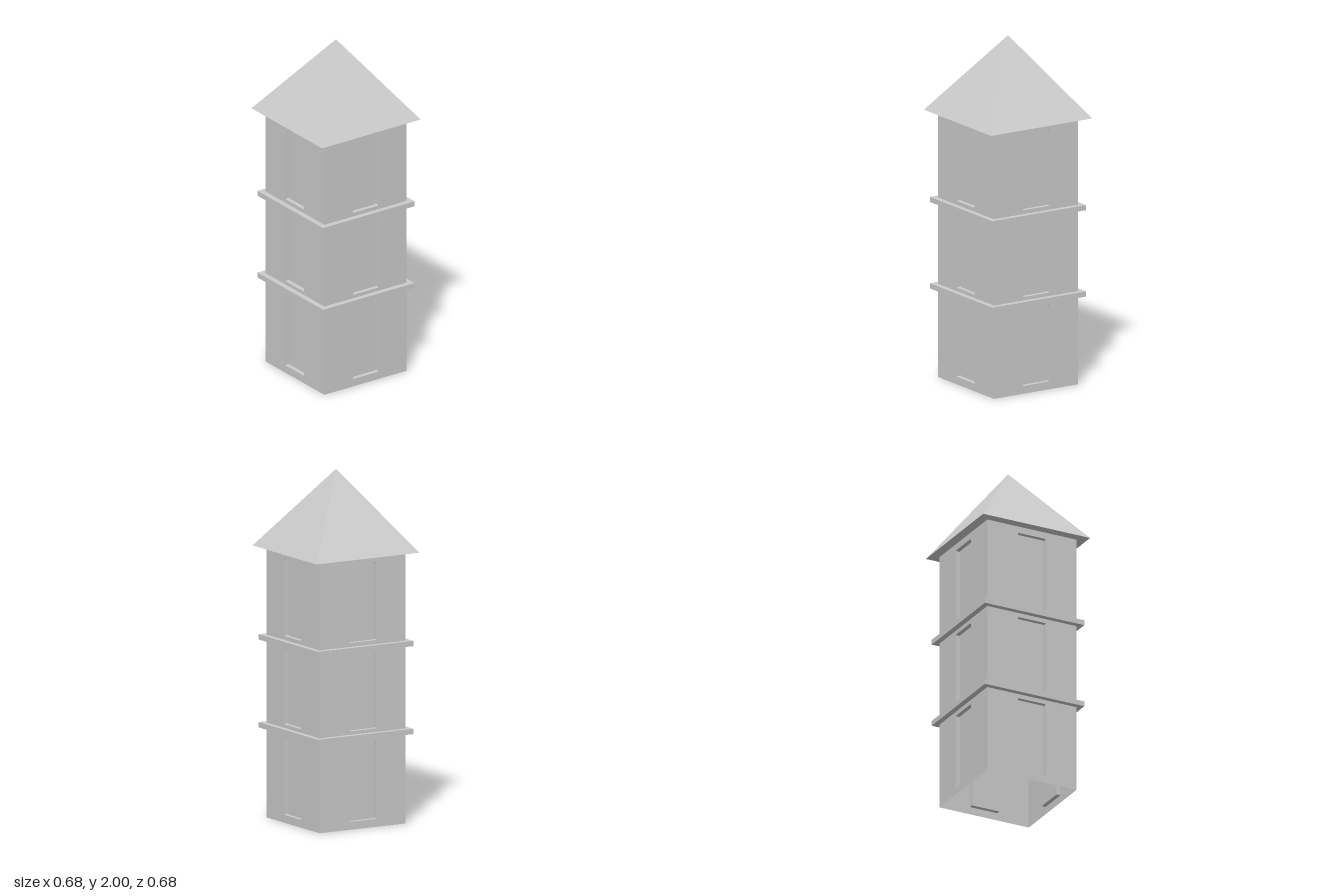
import * as THREE from 'three';

const HALF = 0.283;       // half width of the tower
const EAVES = 1.543;      // wall height
const NICHE_HALF = 0.0875;
const DEPTH = 0.025;      // niche depth
const NICHES = [[0.045, 0.485], [0.56, 0.985], [1.062, 1.504]];
const BELTS = [[0.51, 0.54], [1.01, 1.04]];

const material = new THREE.MeshStandardMaterial({
  color: 0xcccccc, flatShading: true, side: THREE.DoubleSide,
});

function addMesh(parent, name, geometry) {
  const mesh = new THREE.Mesh(geometry, material);
  mesh.name = name;
  parent.add(mesh);
  return mesh;
}

// Square ring or pyramid from a profile of [half width, height]
function squareLathe(profile) {
  const points = profile.map(([r, y]) => new THREE.Vector2(r * Math.SQRT2, y));
  const geometry = new THREE.LatheGeometry(points, 4, Math.PI / 4).toNonIndexed();
  geometry.computeVertexNormals();
  return geometry;
}

// Upright rectangle with slightly eased corners, counter-clockwise
function tracePanel(path, y0, y1) {
  const w = NICHE_HALF, r = 0.006;
  path.moveTo(-w + r, y0);
  path.lineTo(w - r, y0);
  path.quadraticCurveTo(w, y0, w, y0 + r);
  path.lineTo(w, y1 - r);
  path.quadraticCurveTo(w, y1, w - r, y1);
  path.lineTo(-w + r, y1);
  path.quadraticCurveTo(-w, y1, -w, y1 - r);
  path.lineTo(-w, y0 + r);
  path.quadraticCurveTo(-w, y0, -w + r, y0);
  return path;
}

// Strip joining the niche outline to its recessed back, facing inward
function revealGeometry(outline) {
  const position = [];
  for (let i = 0; i < outline.length - 1; i++) {
    const a = outline[i], b = outline[i + 1];
    position.push(a.x, a.y, 0, b.x, b.y, 0, b.x, b.y, -DEPTH);
    position.push(a.x, a.y, 0, b.x, b.y, -DEPTH, a.x, a.y, -DEPTH);
  }
  const geometry = new THREE.BufferGeometry();
  geometry.setAttribute('position', new THREE.Float32BufferAttribute(position, 3));
  geometry.computeVertexNormals();
  return geometry;
}

// One thin wall with three recessed niches
function createSide() {
  const side = new THREE.Group();
  const wall = new THREE.Shape([
    new THREE.Vector2(-HALF, 0), new THREE.Vector2(HALF, 0),
    new THREE.Vector2(HALF, EAVES), new THREE.Vector2(-HALF, EAVES),
  ]);
  for (const [y0, y1] of NICHES) {
    wall.holes.push(tracePanel(new THREE.Path(), y0, y1));
    const panel = tracePanel(new THREE.Shape(), y0, y1);
    addMesh(side, 'nicheBack', new THREE.ShapeGeometry(panel, 4)).position.z = -DEPTH;
    addMesh(side, 'nicheReveal', revealGeometry(panel.getPoints(4)));
  }
  addMesh(side, 'wall', new THREE.ShapeGeometry(wall, 4));
  side.children.forEach((mesh) => { mesh.position.z += HALF; });
  return side;
}

export function createModel() {
  const tower = new THREE.Group();
  tower.name = 'tower';

  // Four identical sides, open at the base
  ['frontSide', 'leftSide', 'backSide', 'rightSide'].forEach((name, i) => {
    const side = createSide();
    side.name = name;
    side.rotation.y = i * Math.PI / 2;
    tower.add(side);
  });

  // Ledges between the storeys
  for (const [y0, y1] of BELTS) {
    addMesh(tower, 'ledge', squareLathe([[HALF, y0], [0.315, y0], [0.315, y1], [HALF, y1]]));
  }

  // Pyramid roof with overhanging eaves
  addMesh(tower, 'roof', squareLathe([[HALF, EAVES], [0.339, EAVES], [0, 2]]));
  return tower;
}
